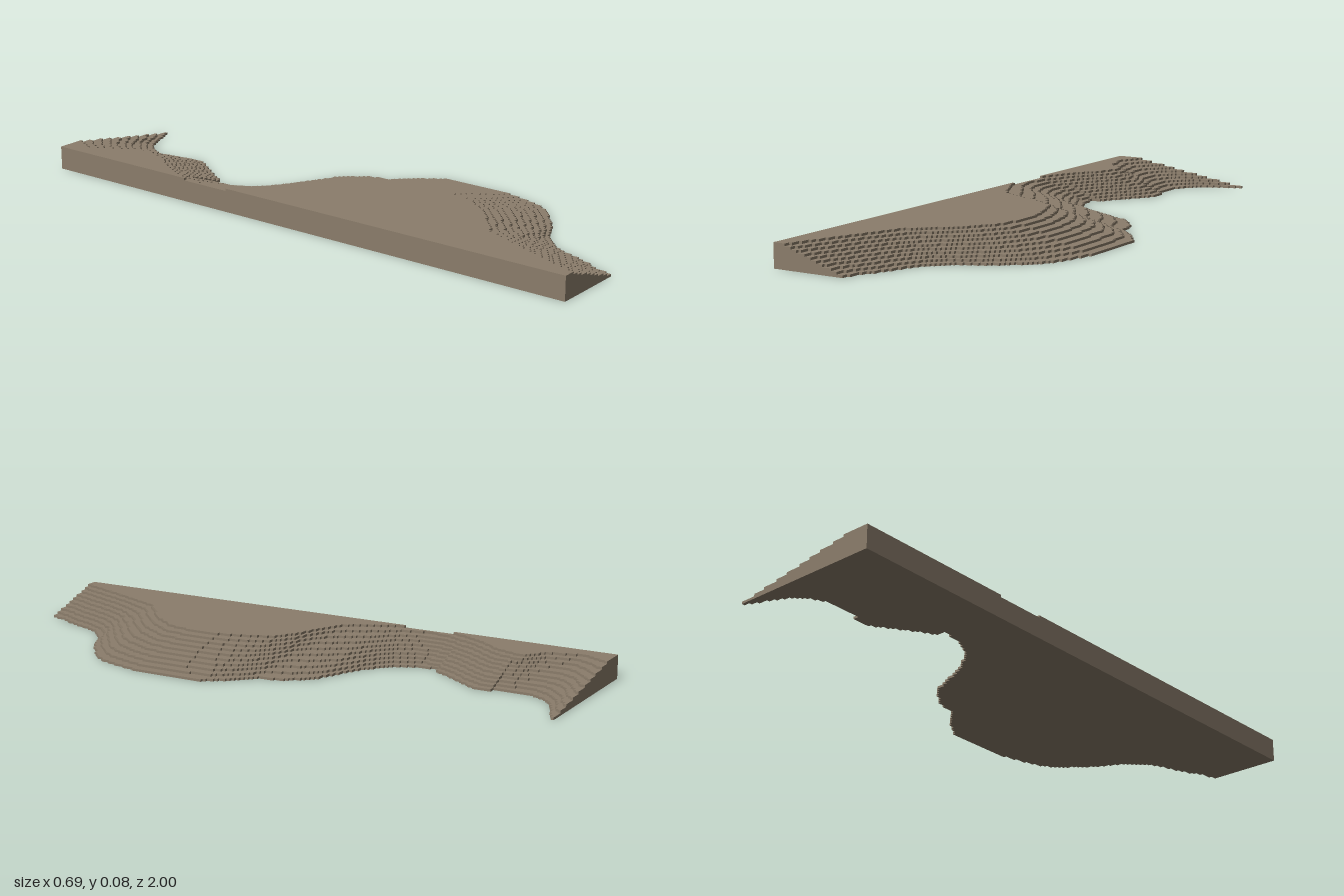
import * as THREE from 'three';

const CELL = 2 / 192;        // plan grid
const ROWS = 192;
const LAYERS = 10;
const STEP = 0.0781 / LAYERS;
const LEFT = -33 * CELL;     // straight back edge

// Contour of the lowest terrace: [z, x]
const LOW = [
  [-1, 0.17], [-0.98, 0.14], [-0.95, 0.06], [-0.92, 0.02], [-0.88, -0.015], [-0.84, -0.035],
  [-0.72, -0.035], [-0.715, -0.01], [-0.67, -0.01], [-0.63, -0.03], [-0.58, -0.065], [-0.53, -0.1],
  [-0.485, -0.12], [-0.48, -0.152], [-0.41, -0.15], [-0.36, -0.125], [-0.31, -0.09], [-0.26, -0.02],
  [-0.21, 0.09], [-0.19, 0.14], [-0.15, 0.175], [-0.1, 0.212], [-0.03, 0.22], [-0.01, 0.25],
  [0.05, 0.3], [0.11, 0.34], [0.36, 0.34], [0.42, 0.325], [0.5, 0.3], [0.55, 0.27],
  [0.57, 0.245], [0.6, 0.21], [0.65, 0.14], [0.69, 0.06], [0.73, 0.02], [0.78, -0.01],
  [0.82, -0.025], [0.9, -0.055], [0.94, -0.08], [1, -0.095],
];

// Contour of the highest terrace: [z, x]
const HIGH = [
  [-1, -0.25], [-0.91, -0.295], [-0.8, -0.26], [-0.74, -0.195], [-0.65, -0.22], [-0.55, -0.29],
  [-0.42, -0.345], [-0.35, -0.36], [-0.27, -0.345], [-0.17, -0.3], [-0.08, -0.25], [-0.04, -0.18],
  [0, -0.07], [0.05, 0], [0.16, 0.043], [0.26, 0.067], [0.33, 0.06], [0.41, 0.045],
  [0.51, -0.024], [0.63, -0.163], [0.84, -0.247], [1, -0.305],
];

function sample(contour, z) {
  let i = 1;
  while (i < contour.length - 1 && contour[i][0] < z) i++;
  const [z0, x0] = contour[i - 1];
  const [z1, x1] = contour[i];
  return THREE.MathUtils.lerp(x0, x1, (z - z0) / (z1 - z0));
}

// Width of a terrace in whole cells for every row
function rowWidths(t) {
  return Array.from({ length: ROWS }, (_, r) => {
    const z = -1 + (r + 0.5) * CELL;
    const x = THREE.MathUtils.lerp(sample(LOW, z), sample(HIGH, z), t);
    return Math.max(0, Math.round((x - LEFT) / CELL));
  });
}

// Stepped outlines, one for each unbroken run of rows
function terraceShapes(widths) {
  const shapes = [];
  let r = 0;
  while (r < ROWS) {
    if (widths[r] === 0) { r++; continue; }
    const edge = (row) => 1 - row * CELL;
    const points = [new THREE.Vector2(LEFT, edge(r))];
    while (r < ROWS && widths[r] > 0) {
      const w = widths[r];
      const x = LEFT + w * CELL;
      points.push(new THREE.Vector2(x, edge(r)));
      while (r < ROWS && widths[r] === w) r++;
      points.push(new THREE.Vector2(x, edge(r)));
    }
    points.push(new THREE.Vector2(LEFT, edge(r)));
    shapes.push(new THREE.Shape(points));
  }
  return shapes;
}

export function createModel() {
  const model = new THREE.Group();
  model.name = 'terracedHillside';
  const earth = new THREE.MeshStandardMaterial({ color: 0x8b7d6b });
  earth.name = 'earth brown';

  // Stacked terraces, shrinking from the lowest contour to the highest
  for (let i = 0; i < LAYERS; i++) {
    const shapes = terraceShapes(rowWidths(i / (LAYERS - 1)));
    const geometry = new THREE.ExtrudeGeometry(shapes, { depth: STEP, bevelEnabled: false });
    geometry.rotateX(-Math.PI / 2);
    geometry.translate(0, i * STEP, 0);
    const terrace = new THREE.Mesh(geometry, earth);
    terrace.name = `terrace${i + 1}`;
    model.add(terrace);
  }
  return model;
}
